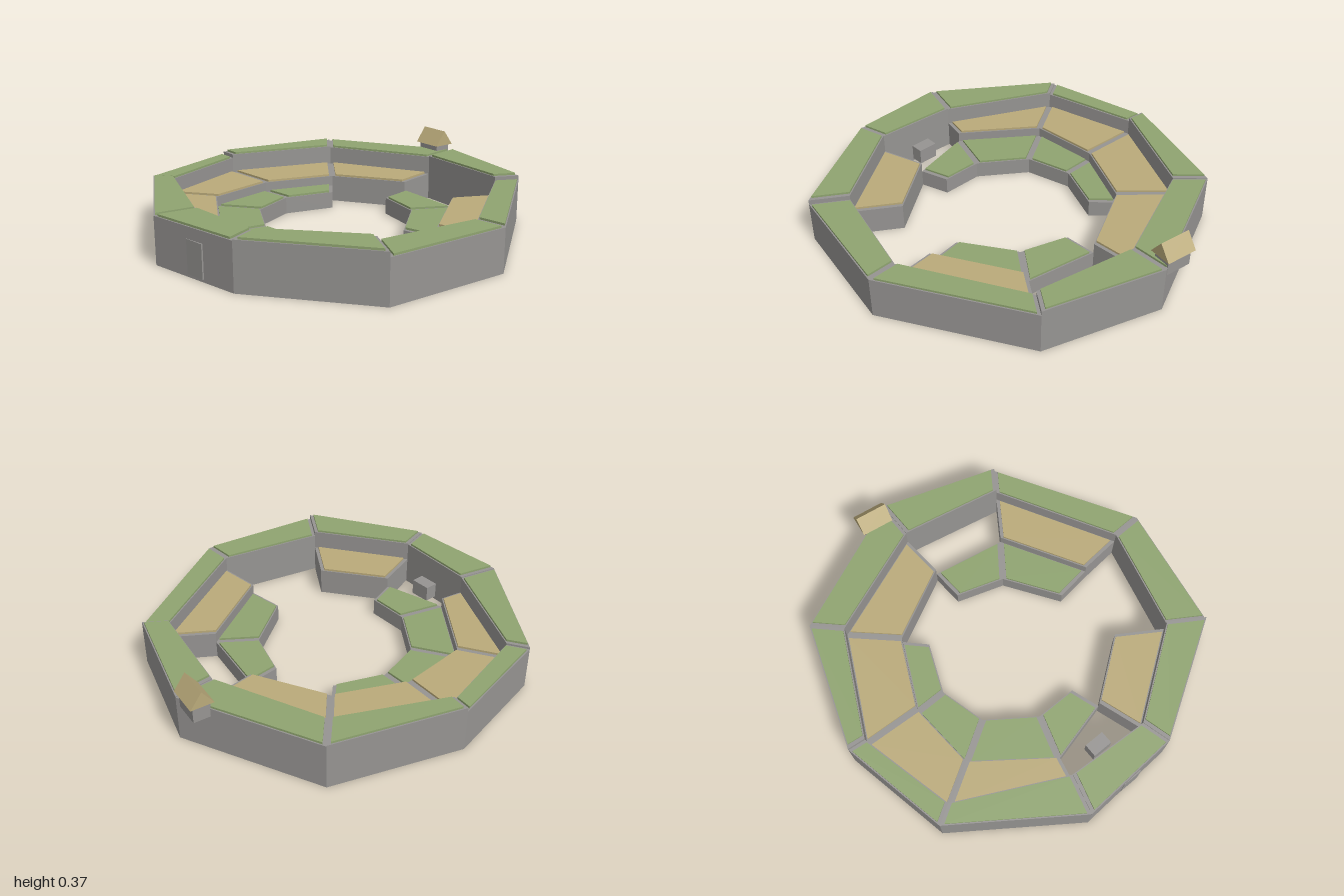
import * as THREE from 'three';

// Ring corners as [x, z], nine per ring, from the outermost ring inwards
const RINGS = [
  [[-0.26, 0.99], [0.275, 0.96], [0.865, 0.6], [0.98, -0.06], [0.565, -0.77], [-0.045, -0.97], [-0.75, -0.66], [-0.98, -0.01], [-0.86, 0.57]],
  [[-0.205, 0.785], [0.235, 0.81], [0.69, 0.49], [0.825, -0.055], [0.49, -0.66], [-0.045, -0.765], [-0.62, -0.535], [-0.885, 0], [-0.76, 0.51]],
  [[-0.18, 0.665], [0.16, 0.58], [0.47, 0.35], [0.605, -0.035], [0.36, -0.465], [-0.03, -0.535], [-0.41, -0.34], [-0.58, 0.015], [-0.555, 0.385]],
  [[-0.11, 0.43], [0.11, 0.43], [0.35, 0.26], [0.415, -0.01], [0.23, -0.285], [-0.02, -0.365], [-0.31, -0.24], [-0.415, 0.015], [-0.35, 0.26]],
];
// Block heights per terrace (0 = open courtyard)
const TERRACES = [
  { name: 'outerWall', heights: [0.245, 0.25, 0.225, 0.225, 0.25, 0.245, 0.25, 0.23, 0.24], top: 'green' },
  { name: 'middleTerrace', heights: [0, 0.145, 0, 0.145, 0, 0.145, 0.145, 0.145, 0.145], top: 'tan' },
  { name: 'innerTerrace', heights: [0.09, 0, 0, 0.09, 0.09, 0, 0.09, 0.09, 0.09], top: 'green' },
];

export function createModel() {
  const model = new THREE.Group();
  const makeMat = (name, color) => {
    const m = new THREE.MeshStandardMaterial({ color });
    m.name = name;
    return m;
  };
  const mats = {
    stone: makeMat('stone grey', 0x969492),
    green: makeMat('roof green', 0x8fa470),
    tan: makeMat('roof tan', 0xbaaa7a),
  };

  function add(name, geometry, material, parent = model) {
    const mesh = new THREE.Mesh(geometry, material);
    mesh.name = name;
    parent.add(mesh);
    return mesh;
  }

  // Upright prism over a four-cornered plan
  function prism(plan, y0, y1) {
    const shape = new THREE.Shape(plan.map(([x, z]) => new THREE.Vector2(x, -z)));
    return new THREE.ExtrudeGeometry(shape, { depth: y1 - y0, bevelEnabled: false })
      .rotateX(-Math.PI / 2)
      .translate(0, y0, 0);
  }

  const mix = (a, b, t) => [a[0] + (b[0] - a[0]) * t, a[1] + (b[1] - a[1]) * t];
  const dist = (a, b) => Math.hypot(a[0] - b[0], a[1] - b[1]);

  // Shrink a plan: more at the two joints, a little along the long edges
  function inset([a, b, c, d], joint, edge) {
    const side = (p, q) => {
      const t = joint / dist(p, q);
      return [mix(p, q, t), mix(q, p, t)];
    };
    const [a1, b1] = side(a, b);
    const [d1, c1] = side(d, c);
    const ta = edge / dist(a1, d1), tb = edge / dist(b1, c1);
    return [mix(a1, d1, ta), mix(b1, c1, tb), mix(c1, b1, tb), mix(d1, a1, ta)];
  }

  // Stone blocks with thin roof slabs
  TERRACES.forEach(({ name, heights, top }, r) => {
    heights.forEach((h, i) => {
      if (!h) return;
      const j = (i + 1) % 9;
      const plan = [RINGS[r][i], RINGS[r][j], RINGS[r + 1][j], RINGS[r + 1][i]];
      const section = new THREE.Group();
      section.name = name + 'Section' + (i + 1);
      model.add(section);
      add(name + 'Block', prism(plan, 0, h), mats.stone, section);
      add(name + 'Roof', prism(inset(plan, 0.02, 0.007), h, h + 0.011), mats[top], section);
    });
  });

  // Gate in the front wall and the small block behind it
  add('gate', new THREE.BoxGeometry(0.11, 0.17, 0.08), mats.stone).position.set(0.025, 0.1, 0.939);
  add('courtyardBlock', new THREE.BoxGeometry(0.11, 0.085, 0.07), mats.stone).position.set(0.02, 0.083, 0.735);

  // Little gabled house on the back wall
  const house = new THREE.Group();
  house.name = 'watchHouse';
  house.position.set(-0.14, 0, -0.927);
  house.rotation.y = -0.14;
  model.add(house);
  add('houseBody', new THREE.BoxGeometry(0.14, 0.09, 0.09), mats.stone, house).position.y = 0.245;
  const gable = new THREE.Shape([
    new THREE.Vector2(-0.061, 0), new THREE.Vector2(0.061, 0), new THREE.Vector2(0, 0.083),
  ]);
  const roof = new THREE.ExtrudeGeometry(gable, { depth: 0.17, bevelEnabled: false })
    .translate(0, 0, -0.085)
    .rotateY(Math.PI / 2);
  add('houseRoof', roof, mats.tan, house).position.y = 0.287;

  return model;
}
